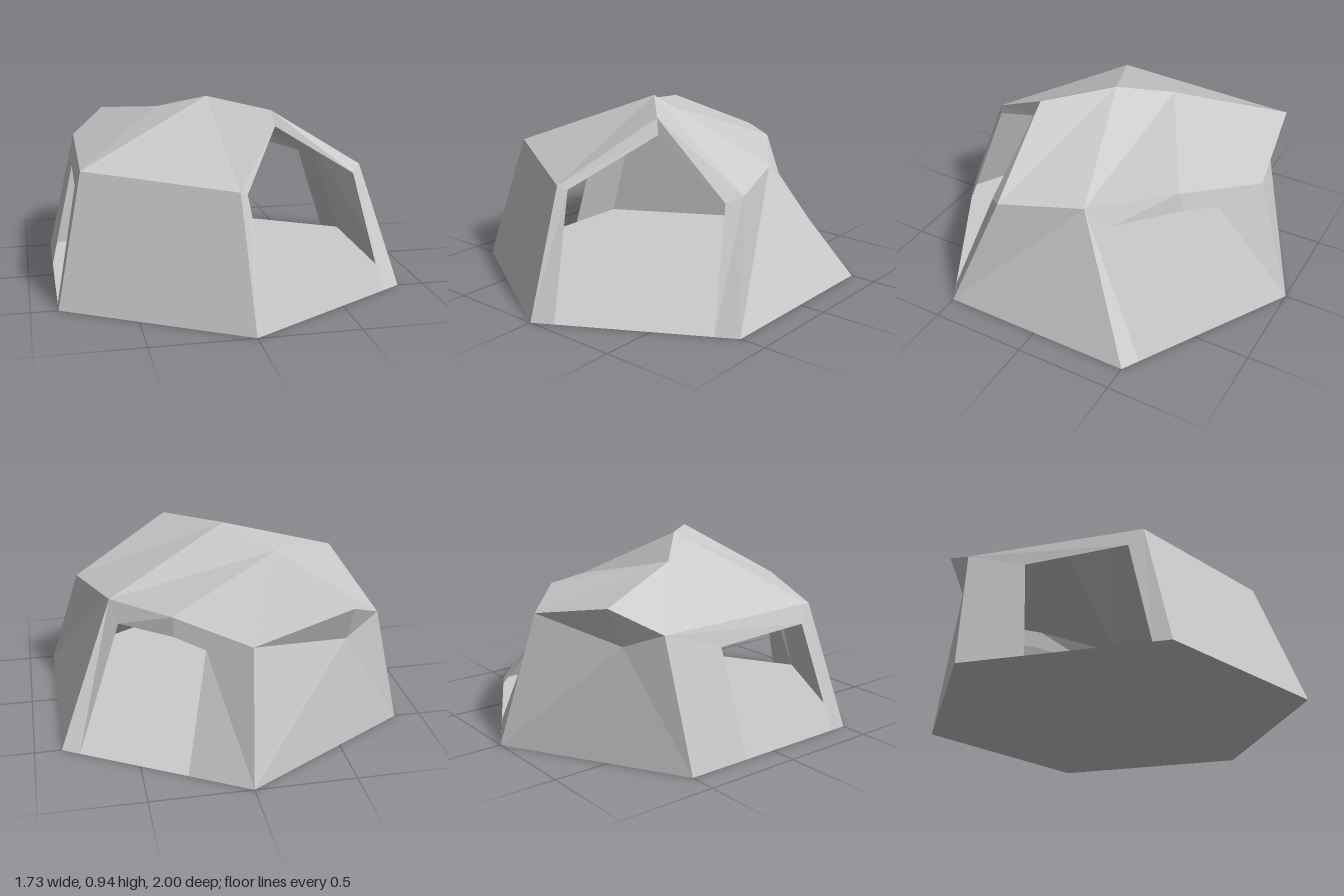
import * as THREE from 'three';

const material = new THREE.MeshStandardMaterial({ color: 0xcccccc, flatShading: true, side: THREE.DoubleSide });
const INSIDE = new THREE.Vector3(0, 0.3, 0);

// Named corner points of the tent: base hexagon, eaves, door peaks and roof
const [bA, bB, bC, bD, bE, bF] = Array.from({ length: 6 }, (_, i) => {
  const a = (i * Math.PI) / 3;
  return [Math.sin(a), 0, Math.cos(a)];
});
const eA = [-0.03, 0.62, 0.77], eB = [0.71, 0.6, 0.28], eC = [0.57, 0.63, -0.13];
const eD = [-0.03, 0.64, -0.8], eE = [-0.71, 0.64, -0.54], eF = [-0.73, 0.65, 0.35];
const frontPeak = [0.22, 0.91, 0.33], sidePeak = [0.3, 0.68, -0.5], backPeak = [-0.53, 0.755, -0.72];
const apex = [-0.05, 0.94, 0.04], ridge = [-0.28, 0.853, -0.18];
const wallMid = [-0.523, 0.56, -0.637], wallFoot = [-0.553, 0, -0.681];

// Fan of triangles around the first point
function fan(...p) {
  return p.slice(2).map((q, i) => [p[0], p[i + 1], q]);
}

// Strip of quads between an outer and an inner outline
function frame(outer, inner) {
  return outer.slice(1).flatMap((q, i) => fan(outer[i], q, inner[i + 1], inner[i]));
}

// Mesh from triangles, each turned to face outward
function panel(name, triangles) {
  const points = [];
  for (const tri of triangles) {
    const [a, b, c] = tri.map((p) => new THREE.Vector3(...p));
    const normal = b.clone().sub(a).cross(c.clone().sub(a));
    const out = a.clone().add(b).add(c).divideScalar(3).sub(INSIDE);
    points.push(...(normal.dot(out) < 0 ? [a, c, b] : [a, b, c]));
  }
  const geometry = new THREE.BufferGeometry().setFromPoints(points);
  geometry.computeVertexNormals();
  const mesh = new THREE.Mesh(geometry, material);
  mesh.name = name;
  return mesh;
}

export function createModel() {
  const model = new THREE.Group();
  model.name = 'tent';
  model.add(
    panel('floor', fan(bA, bB, bC, bD, bE, bF)),

    // Solid walls
    panel('frontWall', fan(bF, bA, eA, eF)),
    panel('sideWall', fan(bB, bC, eC, eB)),
    panel('backWall', [
      ...fan(wallMid, eD, bD, wallFoot),
      ...fan(wallMid, wallFoot, bE, eE),
      ...fan(wallMid, eE, backPeak, eD),
    ]),

    // Door frames: from one foot over the top to the other foot
    panel('frontDoorFrame', frame(
      [bA, eA, frontPeak, eB, bB],
      [[0.1, 0, 0.94], [0.01, 0.6, 0.74], [0.24, 0.83, 0.345], [0.655, 0.57, 0.35], [0.76, 0, 0.56]],
    )),
    panel('backDoorFrame', frame(
      [bD, eD, sidePeak, eC, bC],
      [[0.285, 0, -0.835], [0.165, 0.57, -0.655], [0.3, 0.59, -0.53], [0.54, 0.555, -0.265], [0.78, 0, -0.55]],
    )),
    panel('sideDoorFrame', frame(
      [bE, eE, eF, bF],
      [[-0.866, 0, -0.17], [-0.74, 0.535, -0.23], [-0.755, 0.56, 0.28], [-0.866, 0, 0.41]],
    )),

    // Roof panels
    panel('frontRoof', fan(apex, eF, eA, frontPeak)),
    panel('sideRoof', fan(apex, frontPeak, eB, eC)),
    panel('backRoof', fan(ridge, apex, eC, sidePeak, eD, backPeak)),
    panel('farSideRoof', fan(ridge, backPeak, eE, eF, apex)),
  );
  return model;
}
